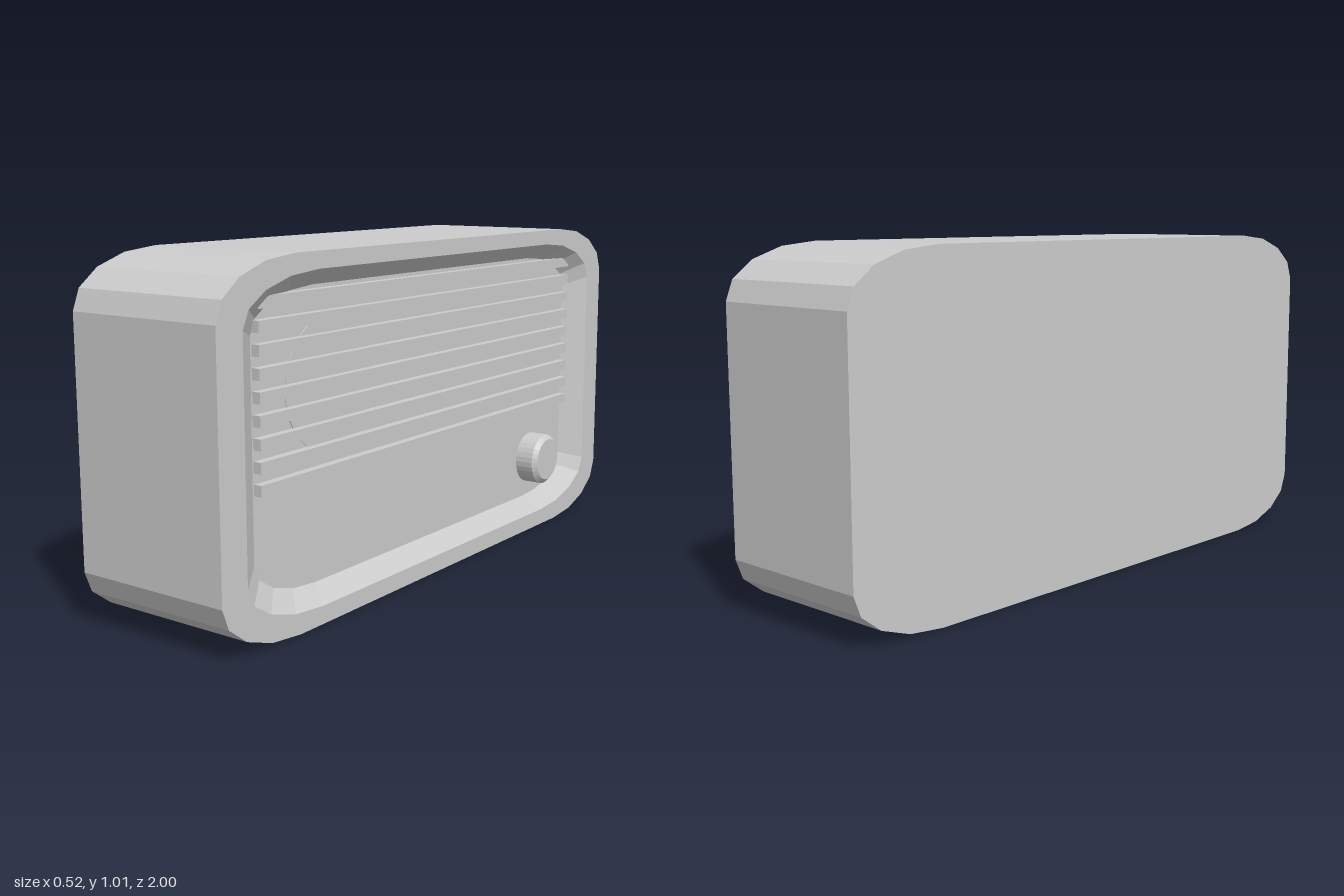
import * as THREE from 'three';

const grey = new THREE.MeshStandardMaterial({ color: 0xcccccc, flatShading: true, side: THREE.DoubleSide });
const FLOOR_X = 0.187;

// Rounded rectangle in the z-y plane, with elliptical corners, at a given x
function ring(x, halfZ, y0, y1, rz, ry, steps = 4) {
  const points = [];
  const corners = [[1, 1], [-1, 1], [-1, -1], [1, -1]];
  corners.forEach(([u, v], k) => {
    for (let i = 0; i <= steps; i++) {
      const a = (k + i / steps) * Math.PI / 2;
      const cu = u * (halfZ - rz);
      const cy = v > 0 ? y1 - ry : y0 + ry;
      points.push([x, cy + ry * Math.sin(a), -(cu + rz * Math.cos(a))]);
    }
  });
  return points;
}

// Skin a series of rings and close both ends
function loft(rings) {
  const pos = [];
  const tri = (a, b, c) => pos.push(...a, ...b, ...c);
  const n = rings[0].length;
  for (let r = 0; r < rings.length - 1; r++) {
    for (let i = 0; i < n; i++) {
      const j = (i + 1) % n;
      tri(rings[r][i], rings[r][j], rings[r + 1][j]);
      tri(rings[r][i], rings[r + 1][j], rings[r + 1][i]);
    }
  }
  const first = rings[0], last = rings[rings.length - 1];
  for (let i = 1; i < n - 1; i++) {
    tri(first[0], first[i + 1], first[i]);
    tri(last[0], last[i], last[i + 1]);
  }
  const geometry = new THREE.BufferGeometry();
  geometry.setAttribute('position', new THREE.Float32BufferAttribute(pos, 3));
  geometry.computeVertexNormals();
  return geometry;
}

export function createModel() {
  const group = new THREE.Group();
  const add = (name, geometry, x, y, z, parent = group) => {
    const mesh = new THREE.Mesh(geometry, grey);
    mesh.name = name;
    mesh.position.set(x, y, z);
    parent.add(mesh);
  };

  // Case: flat back, outer wall, front rim, sloping recess and recessed panel
  add('case', loft([
    ring(-0.262, 1, 0, 1.015, 0.3, 0.155),
    ring(0.241, 1, 0, 1.015, 0.3, 0.155),
    ring(0.241, 0.905, 0.052, 0.968, 0.3, 0.13),
    ring(FLOOR_X, 0.82, 0.1, 0.922, 0.25, 0.11),
  ]), 0, 0, 0);

  // Speaker disc behind the grille
  const disc = new THREE.CylinderGeometry(0.19, 0.19, 0.01, 32);
  disc.rotateZ(-Math.PI / 2);
  add('speaker', disc, FLOOR_X - 0.002, 0.65, 0.5);

  // Grille slats
  const grille = new THREE.Group();
  grille.name = 'grille';
  const slat = new THREE.BoxGeometry(0.035, 0.031, 1.63);
  for (let i = 0; i < 9; i++) {
    add('slat', slat, FLOOR_X + 0.008, 0.412 + i * 0.0605, 0, grille);
  }
  group.add(grille);

  // Tuning knob with a bevelled end
  const profile = [[0, 0], [0.085, 0], [0.085, 0.063], [0.07, 0.077], [0, 0.077]];
  const knob = new THREE.LatheGeometry(profile.map(([r, h]) => new THREE.Vector2(r, h)), 32);
  knob.rotateZ(-Math.PI / 2);
  add('knob', knob, 0.185, 0.233, -0.607);

  return group;
}
